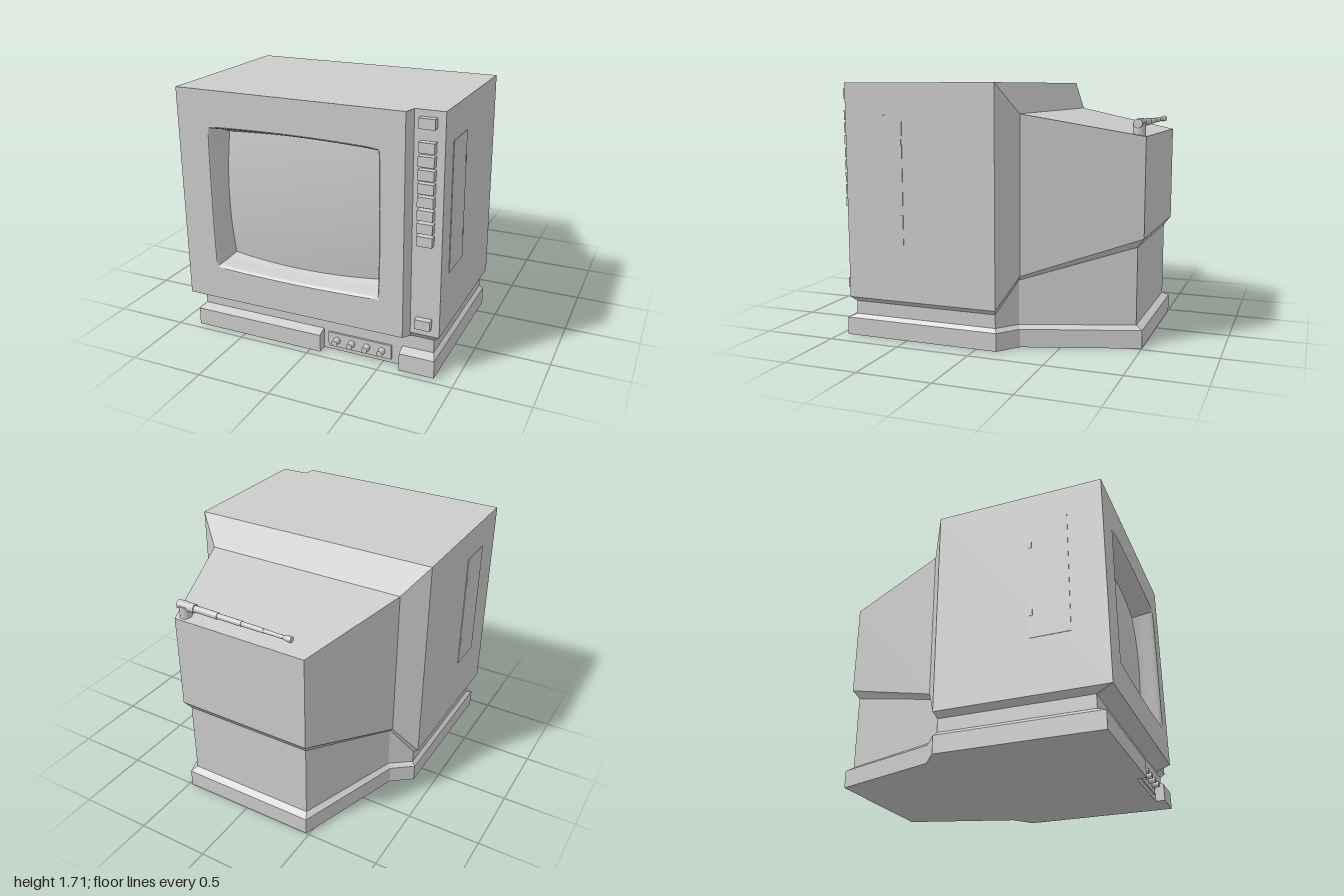
import * as THREE from 'three';
import { toCreasedNormals } from 'three/addons/utils/BufferGeometryUtils.js';

const material = new THREE.MeshStandardMaterial({ color: 0xcccccc });

function addMesh(parent, name, geometry, x = 0, y = 0, z = 0) {
  const mesh = new THREE.Mesh(geometry, material);
  mesh.name = name;
  mesh.position.set(x, y, z);
  parent.add(mesh);
  return mesh;
}

function fromTriangles(points) {
  const geometry = new THREE.BufferGeometry();
  geometry.setAttribute('position', new THREE.Float32BufferAttribute(points.flat(), 3));
  geometry.computeVertexNormals();
  return geometry;
}

// Skin between closed rings; skip(i, j) leaves a panel open
function loft(rings, skip = () => false) {
  const out = [];
  for (let i = 0; i < rings.length - 1; i++) {
    const lo = rings[i], hi = rings[i + 1], n = lo.length;
    for (let j = 0; j < n; j++) {
      if (skip(i, j)) continue;
      const k = (j + 1) % n;
      out.push(lo[j], hi[j], hi[k], lo[j], hi[k], lo[k]);
    }
  }
  return out;
}

// Fill a polygon, facing up or down
function cap(points, up) {
  const flat = points.map((p) => new THREE.Vector2(p[0], p[2]));
  const out = [];
  for (const [a, b, c] of THREE.ShapeUtils.triangulateShape(flat, [])) {
    const [p, q, r] = [points[a], points[b], points[c]];
    const ny = (q[2] - p[2]) * (r[0] - p[0]) - (q[0] - p[0]) * (r[2] - p[2]);
    out.push(...((ny > 0) === up ? [p, q, r] : [p, r, q]));
  }
  return out;
}

// Plan ring: front points [x, z], then side, knee and back corners mirrored
function ring(front, rear, yFront, yRear) {
  const left = rear.map(([x, z], i) => [-x, yRear[i], z]);
  const right = rear.map(([x, z], i) => [x, yRear[i], z]).reverse();
  // left and right here are the ring's two halves
  return [...front.map(([x, z]) => [x, yFront, z]), ...left, ...right];
}

const outerFront = [[0.88, 0.915], [0.69, 0.915], [0.67, 1], [-0.88, 1]];
const outerRear = [[0.88, -0.14], [0.725, -0.25], [0.48, -1]];
const innerFront = [[0.84, 0.89], [0.69, 0.89], [0.67, 0.89], [-0.84, 0.89]];
const innerRear = [[0.84, -0.125], [0.7, -0.235], [0.455, -0.955]];

// Screen opening: bulged rectangle, inset by d
const CX = -0.0725, CY = 0.983;
function screenPoint(u, v, d, z) {
  return [
    CX + (0.585 - d) * u * (1 + 0.01 * (1 - v * v)),
    CY + (0.485 - d) * v * (1 + 0.03 * (1 - u * u)),
    z,
  ];
}
function screenRing(d, z, n = 16) {
  const out = [];
  const corners = [[-1, -1], [-1, 1], [1, 1], [1, -1]];
  corners.forEach(([u, v], i) => {
    const [u2, v2] = corners[(i + 1) % 4];
    for (let k = 0; k < n; k++) {
      out.push(screenPoint(u + ((u2 - u) * k) / n, v + ((v2 - v) * k) / n, d, z));
    }
  });
  return out;
}

function buildCabinet(parent) {
  const top = ring(outerFront, outerRear, 1.705, [1.705, 1.51, 1.37]);
  const rings = [
    ring(innerFront, innerRear, 0.14, [0.14, 0.14, 0.14]),
    ring(innerFront, innerRear, 0.235, [0.235, 0.44, 0.66]),
    ring(outerFront, outerRear, 0.27, [0.27, 0.47, 0.72]),
    top,
  ];
  const triangles = loft(rings, (i, j) => i === 2 && j === 2);
  // Roof, slope behind it, rear hood
  triangles.push(...cap([...top.slice(0, 5), top[9]], true));
  triangles.push(...cap([top[4], top[5], top[8], top[9]], true));
  triangles.push(...cap(top.slice(5, 9), true));
  addMesh(parent, 'cabinet', fromTriangles(triangles));
}

function buildBase(parent) {
  // The front edge is notched for the control panel
  const baseFront = (z, x) => [[x, z], [0.63, z], [0.63, 0.885], [0.075, 0.885], [0.075, z], [-x, z]];
  const foot = [[0.865, -0.14], [0.725, -0.25], [0.48, -1]];
  const rings = [
    ring(baseFront(0.95, 0.865), foot, 0, [0, 0, 0]),
    ring(baseFront(0.95, 0.865), foot, 0.12, [0.12, 0.12, 0.12]),
    ring(baseFront(0.89, 0.84), innerRear, 0.145, [0.145, 0.145, 0.145]),
  ];
  addMesh(parent, 'base', fromTriangles([...loft(rings), ...cap(rings[0], false), ...cap(rings[2], true)]));
}

function buildScreen(parent) {
  // Flat bezel with opening
  const bezel = new THREE.Shape([[-0.88, 0.27], [0.67, 0.27], [0.67, 1.705], [-0.88, 1.705]]
    .map(([x, y]) => new THREE.Vector2(x, y)));
  bezel.holes.push(new THREE.Path(screenRing(0, 1).map(([x, y]) => new THREE.Vector2(x, y))));
  addMesh(parent, 'screenBezel', new THREE.ShapeGeometry(bezel), 0, 0, 1);

  // Rounded recess wall
  const steps = [[0, 1], [0.008, 0.994], [0.016, 0.975], [0.03, 0.92], [0.042, 0.885], [0.06, 0.85], [0.075, 0.81]];
  const wall = fromTriangles(loft(steps.map(([d, z]) => screenRing(d, z))));
  addMesh(parent, 'screenRecess', toCreasedNormals(wall, 1));

  // Domed glass
  const glass = new THREE.PlaneGeometry(2, 2, 24, 24);
  const pos = glass.attributes.position;
  for (let i = 0; i < pos.count; i++) {
    const u = pos.getX(i), v = pos.getY(i);
    pos.setXYZ(i, ...screenPoint(u, v, 0.045, 0.895 - 0.025 * u * u - 0.025 * v * v));
  }
  glass.computeVertexNormals();
  addMesh(parent, 'screenGlass', glass);
}

function buildControls(parent) {
  // Column of push buttons
  const heights = [1.633, 0.357];
  for (let i = 0; i < 8; i++) heights.push(1.491 - i * 0.0825);
  for (const y of heights) {
    addMesh(parent, 'pushButton', new THREE.BoxGeometry(0.1, 0.064, 0.05), 0.78, y, 0.932);
  }

  // Lower panel with four knobs
  addMesh(parent, 'controlPanel', new THREE.BoxGeometry(0.445, 0.1, 0.02), 0.335, 0.08, 0.888);
  for (let i = 0; i < 4; i++) {
    const knob = new THREE.CylinderGeometry(0.02, 0.023, 0.05, 20).rotateX(Math.PI / 2);
    addMesh(parent, 'controlKnob', knob, 0.176 + i * 0.106, 0.08, 0.92);
  }
}

function buildSideDoors(parent) {
  for (const side of [-1, 1]) {
    const x = side * 0.88;
    addMesh(parent, 'sideDoor', new THREE.BoxGeometry(0.008, 0.845, 0.265), x, 1.073, 0.633);
    for (const y of [0.825, 1.32]) {
      addMesh(parent, 'doorCatch', new THREE.BoxGeometry(0.014, 0.045, 0.018), x, y, 0.513);
    }
  }
}

function buildAntenna(parent) {
  const antenna = new THREE.Group();
  antenna.name = 'antenna';
  antenna.position.set(0.43, 0, -0.945);
  parent.add(antenna);
  addMesh(antenna, 'antennaSocket', new THREE.CylinderGeometry(0.04, 0.04, 0.11, 24), 0, 1.4, 0);
  addMesh(antenna, 'antennaPivot', new THREE.SphereGeometry(0.034, 20, 14), 0, 1.448, 0);

  // Telescopic rod: [start, end, start radius, end radius]
  const rod = new THREE.Group();
  rod.name = 'antennaRod';
  rod.position.y = 1.45;
  rod.rotation.y = -0.012;
  antenna.add(rod);
  const sections = [
    [-0.05, 0.08, 0.03, 0.03], [0.08, 0.26, 0.023, 0.023], [0.26, 0.44, 0.019, 0.019],
    [0.44, 0.6, 0.016, 0.016], [0.6, 0.74, 0.013, 0.013], [0.74, 0.775, 0.012, 0.02], [0.775, 0.8, 0.02, 0.02],
  ];
  for (const [a, b, r0, r1] of sections) {
    const part = new THREE.CylinderGeometry(r1, r0, b - a, 16).rotateZ(Math.PI / 2);
    addMesh(rod, 'rodSection', part, -(a + b) / 2, 0, 0);
  }
}

export function createModel() {
  const model = new THREE.Group();
  model.name = 'monitor';
  buildCabinet(model);
  buildBase(model);
  buildScreen(model);
  buildControls(model);
  buildSideDoors(model);
  buildAntenna(model);
  return model;
}
